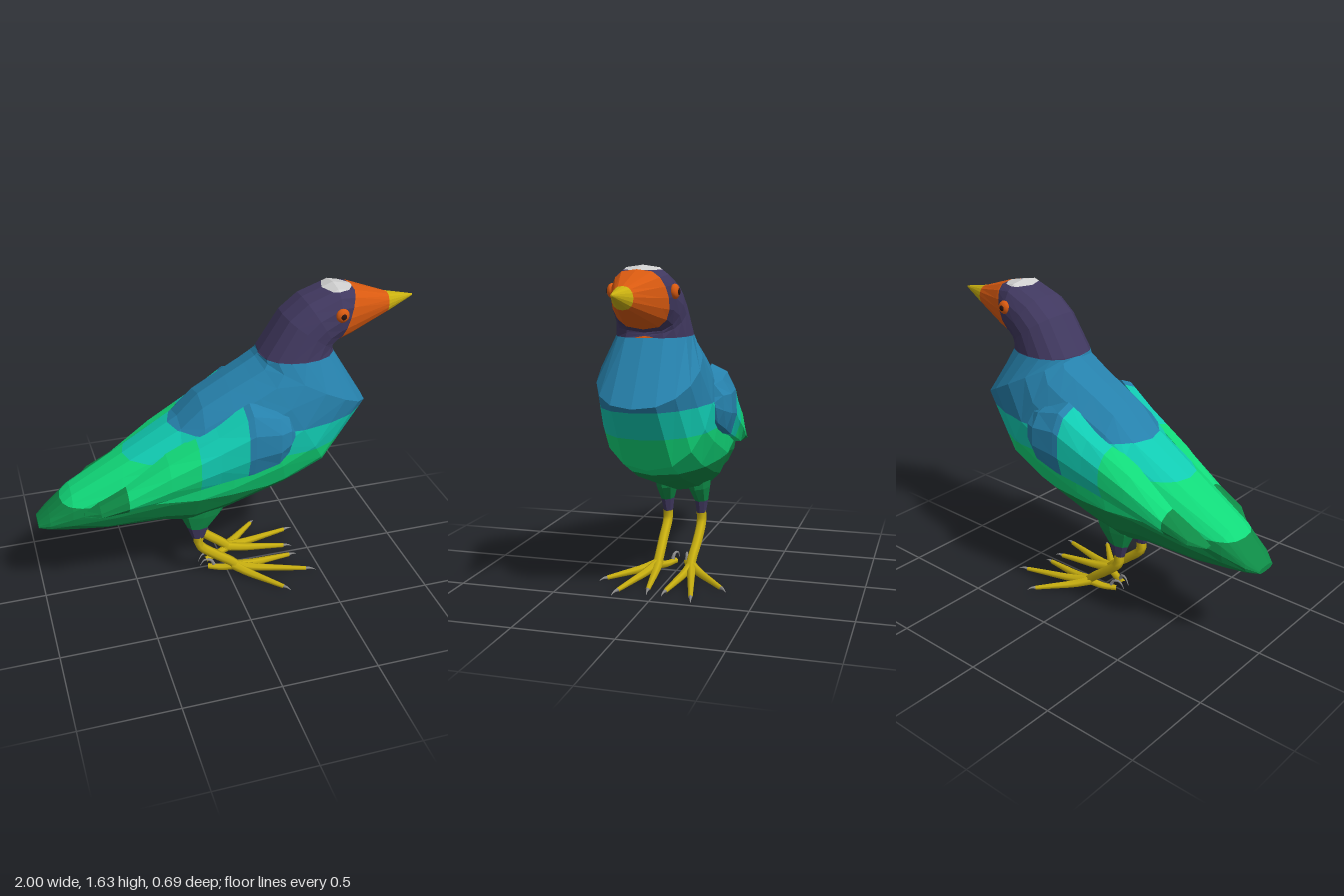
import * as THREE from 'three';

const mat = (name, color) => {
  const m = new THREE.MeshStandardMaterial({ color });
  m.name = name;
  return m;
};
const V = (x, y, z) => new THREE.Vector3(x, y, z);

// Triangles of a capped skin over equal-sized rings; rings run counterclockwise around the direction of travel
function loft(rings) {
  const tris = [], n = rings[0].length;
  for (let k = 0; k < rings.length - 1; k++) {
    for (let i = 0; i < n; i++) {
      const j = (i + 1) % n, p = rings[k], q = rings[k + 1];
      tris.push([p[i], p[j], q[j]], [p[i], q[j], q[i]]);
    }
  }
  const first = rings[0], last = rings[rings.length - 1];
  for (let i = 1; i < n - 1; i++) {
    tris.push([first[0], first[i + 1], first[i]], [last[0], last[i], last[i + 1]]);
  }
  return tris;
}

// Keep the part of each triangle where f > 0
function clip(tris, f) {
  const out = [];
  for (const t of tris) {
    const poly = [];
    t.forEach((a, i) => {
      const b = t[(i + 1) % 3], fa = f(a), fb = f(b);
      if (fa > 0) poly.push(a);
      if ((fa > 0) !== (fb > 0)) poly.push(a.clone().lerp(b, fa / (fa - fb)));
    });
    for (let i = 1; i < poly.length - 1; i++) out.push([poly[0], poly[i], poly[i + 1]]);
  }
  return out;
}

// Slice into colour bands at rising values of f
function bands(tris, f, cuts) {
  const limits = [-Infinity, ...cuts, Infinity];
  return limits.slice(1).map((hi, i) => {
    let part = tris;
    if (i > 0) part = clip(part, p => f(p) - limits[i]);
    if (hi < Infinity) part = clip(part, p => hi - f(p));
    return part;
  });
}

export function createModel() {
  const bird = new THREE.Group();
  bird.name = 'bird';
  const purple = mat('purple', 0x40385f), blue = mat('blue', 0x2681ac), teal = mat('teal', 0x11cbb2);
  const green = mat('bright green', 0x11da7a), darkGreen = mat('dark green', 0x0e8a46);
  const orange = mat('orange', 0xd95a10), yellow = mat('yellow', 0xc9b010);
  const white = mat('white', 0xd0d0d0), grey = mat('claw grey', 0x8c8c8c), dark = mat('pupil dark', 0x2a1410);

  const addMesh = (name, geo, material) => {
    const m = new THREE.Mesh(geo, material);
    m.name = name;
    bird.add(m);
    return m;
  };
  const addFaces = (name, tris, material) => {
    const geo = new THREE.BufferGeometry().setFromPoints(tris.flat());
    geo.computeVertexNormals();
    return addMesh(name, geo, material);
  };
  // Tube that tapers from r0 to r1
  const addTaper = (name, pts, r0, r1, material, segs = 8) => {
    const curve = new THREE.CatmullRomCurve3(pts);
    const geo = new THREE.TubeGeometry(curve, segs, 1, 6);
    const pos = geo.attributes.position, v = V(0, 0, 0);
    for (let i = 0; i < pos.count; i++) {
      const u = Math.floor(i / 7) / segs, c = curve.getPointAt(u);
      v.fromBufferAttribute(pos, i).sub(c).multiplyScalar(r0 + (r1 - r0) * u).add(c);
      pos.setXYZ(i, v.x, v.y, v.z);
    }
    return addMesh(name, geo, material);
  };

  // Body and head, tail to beak: top x, top y, bottom x, bottom y, half width, roundness
  const sections = [
    [-1, 0.52, -1, 0.49, 0.06, 0.8],
    [-0.94, 0.575, -0.95, 0.48, 0.1, 0.8],
    [-0.82, 0.68, -0.84, 0.46, 0.135, 0.8],
    [-0.55, 0.835, -0.66, 0.44, 0.18, 0.8],
    [-0.25, 1.01, -0.38, 0.44, 0.225, 0.8],
    [-0.14, 1.12, -0.22, 0.41, 0.25, 0.85],
    [0, 1.2, -0.03, 0.45, 0.27, 0.9],
    [0.1, 1.255, 0.3, 0.56, 0.28, 0.9],
    [0.16, 1.29, 0.52, 0.67, 0.275, 0.85],
    [0.17, 1.3, 0.75, 1.0, 0.245, 0.85],
    [0.18, 1.31, 0.56, 1.305, 0.182, 0.7],
    [0.3, 1.5, 0.553, 1.32, 0.17, 0.7],
    [0.4, 1.58, 0.55, 1.33, 0.168, 0.7],
    [0.56, 1.64, 0.565, 1.345, 0.155, 0.7],
    [0.66, 1.62, 0.64, 1.37, 0.125, 0.6],
    [0.85, 1.555, 0.87, 1.455, 0.048, 0.8],
    [1, 1.525, 1, 1.515, 0.004, 1],
  ];
  const SIDES = 16;
  const skin = loft(sections.map(([tx, ty, bx, by, w, p]) => Array.from({ length: SIDES }, (_, i) => {
    const a = i / SIDES * Math.PI * 2, c = (1 + Math.cos(a)) / 2, s = Math.sin(a);
    return V(bx + (tx - bx) * c, by + (ty - by) * c, w * Math.sign(s) * Math.abs(s) ** p);
  })));
  const layers = bands(skin, p => p.y, [0.63, 0.84, 0.98, 1.305]);
  ['belly', 'flank', 'sideBand', 'breastAndBack'].forEach((name, i) =>
    addFaces(name, layers[i], [darkGreen, green, teal, blue][i]));

  // Head: hood, crown patch, face and beak tip
  const [hood, front] = bands(layers[4], p => p.x - 0.32 * (p.y - 1.36), [0.57]);
  const [hoodSide, crown] = bands(hood, p => p.y, [1.618]);
  const [face, beak] = bands(front, p => p.x, [0.855]);
  addFaces('hood', hoodSide, purple);
  addFaces('crownPatch', crown, white);
  addFaces('face', face, orange);
  addFaces('beakTip', beak, yellow);

  // Wing stations: x, top y, bottom y, outer z
  const wing = [
    [-0.775, 0.61, 0.6, 0.175], [-0.7, 0.665, 0.605, 0.235], [-0.56, 0.745, 0.625, 0.255],
    [-0.35, 0.89, 0.68, 0.285], [-0.1, 1.03, 0.745, 0.312], [0.07, 1.14, 0.785, 0.335],
    [0.2, 1.105, 0.83, 0.343], [0.26, 1.08, 0.87, 0.315], [0.29, 1.0, 0.93, 0.28],
  ];

  for (const s of [1, -1]) {
    const side = s > 0 ? 'left' : 'right';

    const wingSkin = loft(wing.map(([x, t, b, z]) => {
      const h = t - b;
      const ring = [[t, z - 0.13], [t - 0.1 * h, z - 0.05], [t - 0.35 * h, z - 0.005],
        [b + 0.3 * h, z], [b, z - 0.03], [b, z - 0.14]].map(([y, w]) => V(x, y, w * s));
      return s > 0 ? ring : ring.reverse();
    }));
    bands(wingSkin, p => p.x, [-0.56, -0.2, 0.04]).forEach((part, i) =>
      addFaces(side + ['WingTip', 'WingFeathers', 'WingBand', 'WingShoulder'][i], part,
        [darkGreen, green, teal, blue][i]));

    // Thigh rings: y, centre x, centre z, radius x, radius z
    const thigh = loft([
      [0.3, -0.17, 0.093, 0.035, 0.026], [0.37, -0.17, 0.095, 0.06, 0.036],
      [0.45, -0.15, 0.09, 0.115, 0.055], [0.6, -0.13, 0.09, 0.16, 0.065],
    ].map(([y, x, z, rx, rz]) => Array.from({ length: 8 }, (_, i) => {
      const a = i / 8 * Math.PI * 2;
      return V(x + rx * Math.cos(a), y, z * s - rz * Math.sin(a));
    })));
    const [cuff, upper] = bands(thigh, p => p.y, [0.37]);
    addFaces(side + 'ThighCuff', cuff, purple);
    addFaces(side + 'Thigh', upper, darkGreen);

    // Leg
    addTaper(side + 'Leg', [V(-0.165, 0.33, 0.093 * s), V(-0.168, 0.25, 0.095 * s),
      V(-0.08, 0.165, 0.095 * s), V(0.01, 0.095, 0.09 * s), V(0.06, 0.045, 0.09 * s)], 0.027, 0.026, yellow, 12);

    // Front toes with claws: end x, end z
    for (const [x, z] of [[0.25, 0.305], [0.42, 0.19], [0.37, 0.045]]) {
      const at = (u, y) => V(0.03 + (x - 0.03) * u, y, (0.09 + (z - 0.09) * u) * s);
      addTaper(side + 'Toe', [at(0, 0.06), at(0.3, 0.042), at(0.7, 0.032), at(1, 0.025)], 0.027, 0.012, yellow);
      addTaper(side + 'Claw', [at(0.97, 0.026), at(1.07, 0.026), at(1.14, 0.015)], 0.011, 0.001, grey, 4);
    }
    // Hind toe with curled claw
    addTaper(side + 'HindToe', [V(0.04, 0.05, 0.085 * s), V(-0.03, 0.036, 0.06 * s), V(-0.1, 0.036, 0.03 * s)],
      0.022, 0.016, yellow);
    addTaper(side + 'HindClaw', [V(-0.07, 0.05, 0.04 * s), V(-0.085, 0.078, 0.035 * s),
      V(-0.12, 0.078, 0.025 * s), V(-0.145, 0.04, 0.02 * s)], 0.011, 0.001, grey, 8);

    // Eye
    const eye = addMesh(side + 'EyeRing', new THREE.SphereGeometry(0.036, 10, 8), orange);
    eye.position.set(0.56, 1.52, 0.15 * s);
    eye.scale.z = 0.65;
    const pupil = addMesh(side + 'Pupil', new THREE.SphereGeometry(0.016, 8, 6), dark);
    pupil.position.set(0.56, 1.52, 0.169 * s);
    pupil.scale.z = 0.5;
  }
  return bird;
}
